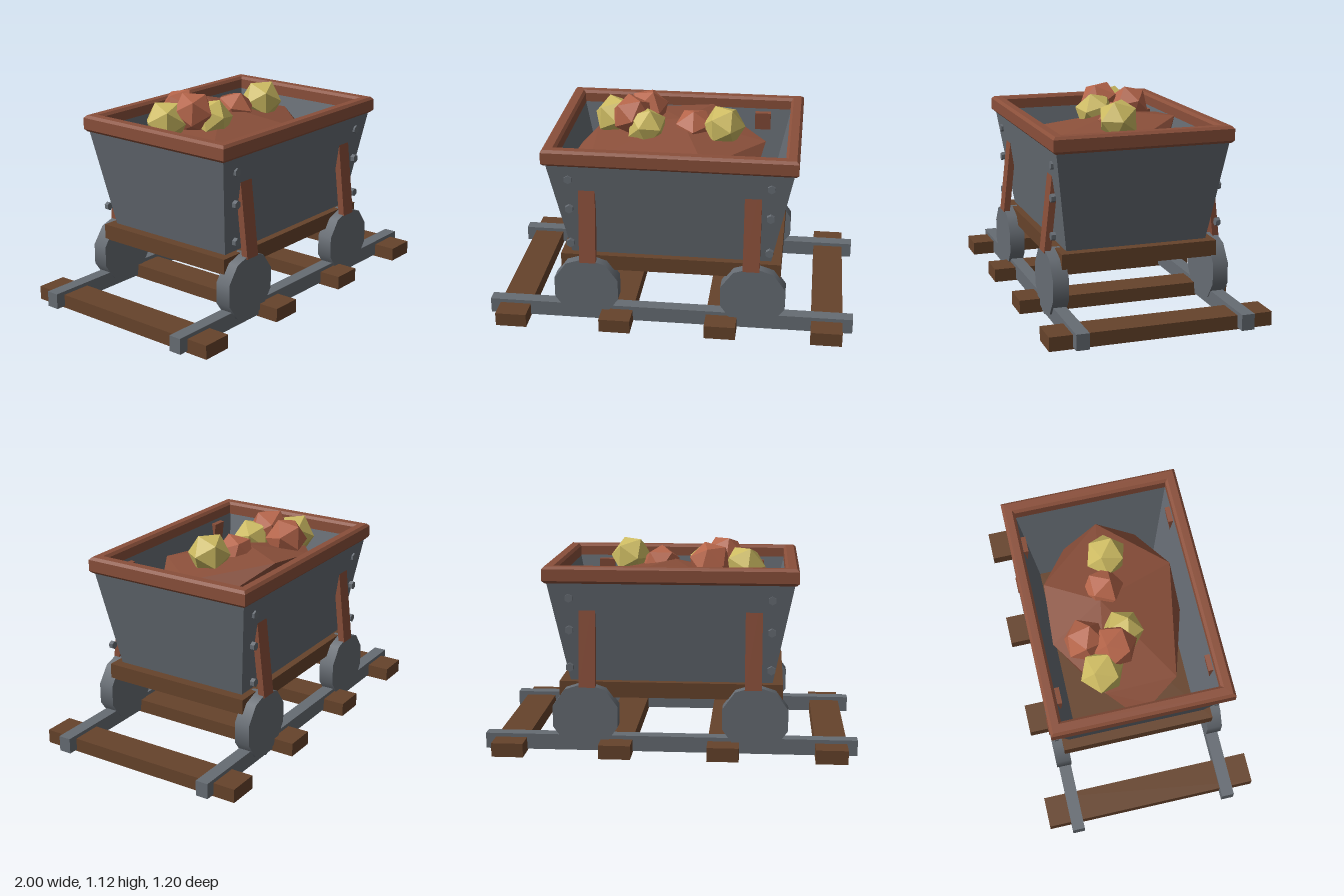
import * as THREE from 'three';
import { ConvexGeometry } from 'three/addons/geometries/ConvexGeometry.js';

const material = (name, color, flatShading = true) => {
  const m = new THREE.MeshStandardMaterial({ color, flatShading });
  m.name = name;
  return m;
};

export function createModel() {
  const model = new THREE.Group();
  model.name = 'mineCart';
  const darkWood = material('dark wood', 0x66432b);
  const redWood = material('red wood', 0x8a4f3a);
  const iron = material('iron', 0x666c73);
  const wheelIron = iron.clone();
  wheelIron.flatShading = false;
  const copper = material('copper ore', 0xb5654a);
  const gold = material('gold ore', 0xcdbb62);

  const add = (name, geometry, mat, x = 0, y = 0, z = 0) => {
    const mesh = new THREE.Mesh(geometry, mat);
    mesh.name = name;
    mesh.position.set(x, y, z);
    model.add(mesh);
    return mesh;
  };

  // Track
  for (const x of [-0.86, -0.287, 0.287, 0.86])
    add('sleeper', new THREE.BoxGeometry(0.17, 0.075, 1.2), darkWood, x, 0.0375, 0);
  for (const s of [-1, 1])
    add('rail', new THREE.BoxGeometry(2, 0.085, 0.07), iron, 0, 0.0525, s * 0.442);

  // Chassis
  add('chassis', new THREE.BoxGeometry(1.2, 0.085, 0.86), darkWood, 0, 0.3375, 0);

  // Tapered open bin: rectangular rings [half width, y, half depth], outside up, then inside down
  const rings = [
    [0.545, 0.38, 0.39], [0.665, 0.98, 0.478],
    [0.612, 0.98, 0.428], [0.48, 0.382, 0.345],
  ];
  const corners = [[-1, 1], [1, 1], [1, -1], [-1, -1]];
  const point = (r, c) => {
    const [w, y, d] = rings[r % 4];
    const [sx, sz] = corners[c % 4];
    return [sx * w, y, sz * d];
  };
  const positions = [];
  for (let r = 0; r < 4; r++) {
    for (let c = 0; c < 4; c++) {
      const p = point(r, c), q = point(r, c + 1), s = point(r + 1, c + 1), t = point(r + 1, c);
      positions.push(...p, ...q, ...s, ...p, ...s, ...t);
    }
  }
  const bin = new THREE.BufferGeometry();
  bin.setAttribute('position', new THREE.Float32BufferAttribute(positions, 3));
  bin.computeVertexNormals();
  add('bin', bin, iron);

  // Bevelled rim
  const rectangle = (Type, w, d) => new Type([[-w, -d], [w, -d], [w, d], [-w, d]]
    .map(([x, y]) => new THREE.Vector2(x, y)));
  const rimShape = rectangle(THREE.Shape, 0.661, 0.476);
  rimShape.holes.push(rectangle(THREE.Path, 0.617, 0.437));
  const rim = new THREE.ExtrudeGeometry(rimShape, {
    depth: 0.062, bevelEnabled: true, bevelSize: 0.014, bevelThickness: 0.014, bevelSegments: 1,
  });
  rim.rotateX(-Math.PI / 2);
  add('rim', rim, redWood, 0, 0.934, 0);

  // Wheels, leaning braces and rivets on both long sides
  const wheel = new THREE.CylinderGeometry(0.184, 0.184, 0.086, 10).rotateX(Math.PI / 2);
  const rivet = new THREE.CylinderGeometry(0.023, 0.023, 0.024, 6).rotateX(Math.PI / 2);
  const brace = new THREE.BoxGeometry(0.09, 0.57, 0.036);
  for (const sz of [-1, 1]) {
    for (const sx of [-1, 1]) {
      add('wheel', wheel, wheelIron, sx * 0.455, 0.2, sz * 0.445);
      add('brace', brace, redWood, sx * 0.443, 0.643, sz * 0.444).rotation.x = -sz * 0.112;
      for (const y of [0.465, 0.668, 0.84])
        add('rivet', rivet, iron, sx * 0.537, y, sz * 0.459);
    }
  }

  // Heap of ore: faceted convex lump
  const heap = [
    [-0.17, 0.95, -0.375], [0.16, 0.985, -0.355], [0.4, 0.85, -0.2], [0.48, 0.915, 0],
    [0.43, 0.78, 0.21], [0.17, 0.9, 0.345], [-0.08, 0.82, 0.345], [-0.46, 0.86, 0.23],
    [-0.57, 0.834, 0.07], [-0.56, 0.83, -0.07], [-0.48, 0.9, -0.16],
    [0, 1.0, -0.08], [-0.3, 0.55, -0.2], [0.25, 0.55, -0.2], [0.25, 0.55, 0.2], [-0.3, 0.55, 0.2],
  ].map((p) => new THREE.Vector3(...p));
  add('oreHeap', new ConvexGeometry(heap), redWood);

  // Nuggets: material, centre, radius, turn
  const nuggets = [
    [gold, -0.38, 0.97, -0.155, 0.122, 0.3],
    [gold, -0.18, 0.97, 0.0, 0.115, 1.1],
    [gold, 0.25, 1.0, 0.005, 0.118, 0.5],
    [copper, -0.2, 1.0, -0.21, 0.118, 0.9],
    [copper, -0.27, 1.015, -0.06, 0.12, 0.2],
    [copper, 0.08, 0.96, -0.05, 0.115, 1.6],
  ];
  for (const [mat, x, y, z, radius, turn] of nuggets)
    add('nugget', new THREE.IcosahedronGeometry(radius, 0), mat, x, y, z)
      .rotation.set(0.5 + turn * 0.2, turn, 0.1);

  return model;
}
